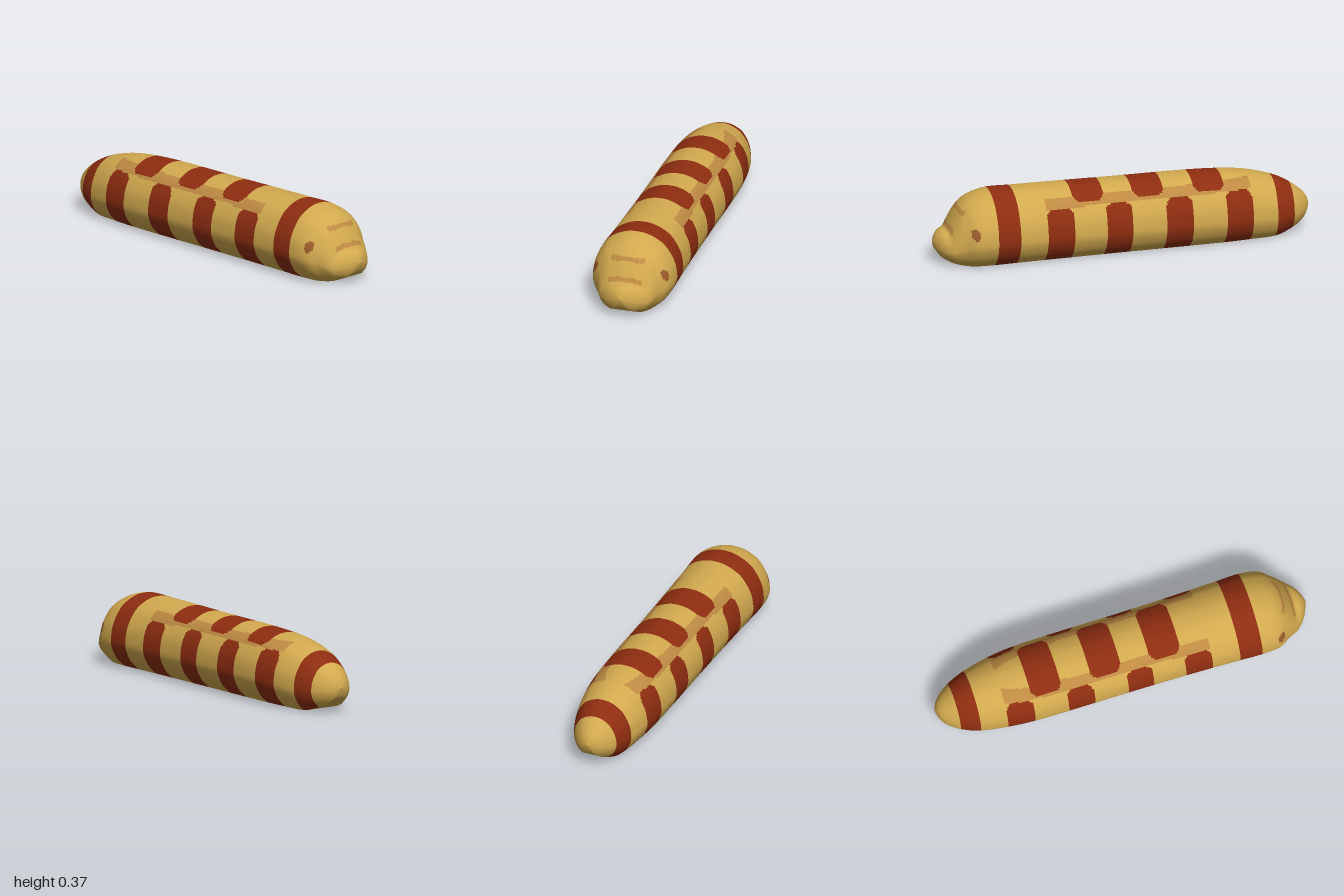
import * as THREE from 'three';

const colours = [
  ['skin', 0xd2a94e], ['bandRed', 0x8e2d10], ['crease', 0xbe8a43], ['underside', 0xa4713a], ['eyeBrown', 0x9c5a2a],
];
const SKIN = 0, RED = 1, CREASE = 2, UNDER = 3, EYE = 4;

// Body stations from snout to tail: z, half width, bottom y, top y
const stations = [
  [1.0, 0, 0.11, 0.11], [0.985, 0.045, 0.07, 0.145], [0.96, 0.09, 0.04, 0.17],
  [0.925, 0.128, 0.022, 0.185], [0.9, 0.145, 0.012, 0.23], [0.86, 0.167, 0.003, 0.295],
  [0.8, 0.205, 0, 0.34], [0.7, 0.217, 0, 0.368], [0.55, 0.212, 0, 0.368],
  [0.3, 0.206, 0, 0.366], [0, 0.203, 0, 0.362], [-0.3, 0.203, 0, 0.36],
  [-0.52, 0.2, 0, 0.352], [-0.67, 0.185, 0, 0.335], [-0.8, 0.158, 0, 0.3],
  [-0.88, 0.128, 0.022, 0.262], [-0.94, 0.092, 0.05, 0.22], [-0.98, 0.05, 0.085, 0.18],
  [-1, 0, 0.135, 0.135],
];

// Catmull-Rom blend of four values
function blend(a, b, c, d, t) {
  const m0 = (c - a) / 2, m1 = (d - b) / 2;
  return (2 * b - 2 * c + m0 + m1) * t ** 3 + (-3 * b + 3 * c - 2 * m0 - m1) * t * t + m0 * t + b;
}

// Subdivided rings, finer near the ends
function makeRings() {
  const rings = [], last = stations.length - 1;
  const at = (i) => stations[Math.min(last, Math.max(0, i))];
  for (let s = 0; s < last; s++) {
    const n = Math.max(7, Math.ceil((stations[s][0] - stations[s + 1][0]) / 0.0085));
    for (let k = 0; k < n; k++) {
      rings.push([0, 1, 2, 3].map((j) => blend(at(s - 1)[j], at(s)[j], at(s + 1)[j], at(s + 2)[j], k / n)));
    }
  }
  rings.push(stations[last]);
  return rings;
}

// Unit cross-section: flat underside, domed back, mirrored to a closed loop
const FLAT = 14, DOME = 52;
function makeSection() {
  const dome = new THREE.SplineCurve([
    [0.6, 0], [0.83, 0.125], [0.97, 0.28], [1, 0.41], [0.93, 0.62],
    [0.71, 0.83], [0.46, 0.935], [0.2, 0.99], [0, 1],
  ].map(([x, y]) => new THREE.Vector2(x, y)));
  const half = [];
  for (let i = 0; i < FLAT; i++) half.push(new THREE.Vector2((0.6 * i) / FLAT, 0));
  half.push(...dome.getSpacedPoints(DOME));
  const mirrored = half.slice(1, -1).reverse().map((p) => new THREE.Vector2(-p.x, p.y));
  return [...half, ...mirrored];
}

const within = (v, a, b) => v > a && v < b;
const ellipse = (a, b, ra, rb) => (a / ra) ** 2 + (b / rb) ** 2 < 1;
const roundRect = (a, b, ha, hb, r) =>
  Math.hypot(Math.max(Math.abs(a) - ha + r, 0), Math.max(Math.abs(b) - hb + r, 0)) < r;

const sidePatches = [0.363, 0.05, -0.272, -0.588];
const topPatches = [0.203, -0.118, -0.438];
const bellySpots = [[-0.62, 0.04, 0.07, 0.02], [-0.5, -0.05, 0.05, 0.018], [-0.27, 0.03, 0.07, 0.02],
  [-0.15, 0.07, 0.03, 0.018], [0.08, 0.05, 0.03, 0.02]];

// Colour of the skin at one place
function paint(x, y, z, under) {
  if (under) {
    if (!within(z, -0.84, 0.86)) return SKIN;
    return bellySpots.some(([sz, sx, rz, rx]) => ellipse(z - sz, x - sx, rz, rx)) ? SKIN : UNDER;
  }
  const ax = Math.abs(x);
  // full bands
  if (within(z, 0.578, 0.697) || within(z, -0.898, -0.803)) return RED;
  // rounded saddles and side patches
  if (y > 0.2 && topPatches.some((c) => roundRect(z - c, x, 0.083, 0.143, 0.045))) return RED;
  if (sidePatches.some((c) => roundRect(z - c, y, 0.071, 0.287, 0.04))) return RED;
  // pale strip between them
  if (within(z, -0.66, 0.435) && within(y, 0.287, 0.33)) return CREASE;
  // face
  if (z > 0.76) {
    if (ellipse(z - 0.815, y - 0.195, 0.02, 0.03) && ax > 0.12) return EYE;
    if (ax < 0.09 && Math.abs(y - 0.284 + ax * 0.05) < 0.011) return CREASE;
    if (ax < 0.09 && z > 0.88 && Math.abs(y - 0.193 + ax * ax * 1.8) < 0.011) return CREASE;
  }
  return SKIN;
}

export function createModel() {
  const rings = makeRings(), section = makeSection(), n = section.length;
  const position = [];
  for (const [z, w, b, t] of rings) {
    for (const p of section) position.push(p.x * w, b + p.y * (t - b), z);
  }

  // Sort the faces by colour
  const faces = colours.map(() => []);
  const mid = (k, ...ids) => ids.reduce((sum, id) => sum + position[id * 3 + k], 0) / ids.length;
  for (let r = 0; r < rings.length - 1; r++) {
    for (let i = 0; i < n; i++) {
      const j = (i + 1) % n;
      const a = r * n + i, b = r * n + j, c = b + n, d = a + n;
      const under = i < FLAT || i >= n - FLAT;
      const colour = paint(mid(0, a, b, c, d), mid(1, a, b, c, d), mid(2, a, b, c, d), under);
      faces[colour].push(a, d, c, a, c, b);
    }
  }

  const geometry = new THREE.BufferGeometry();
  geometry.setAttribute('position', new THREE.Float32BufferAttribute(position, 3));
  geometry.setIndex(faces.flat());
  let start = 0;
  faces.forEach((list, m) => {
    geometry.addGroup(start, list.length, m);
    start += list.length;
  });
  geometry.computeVertexNormals();

  const materials = colours.map(([name, color]) => {
    const material = new THREE.MeshStandardMaterial({ color });
    material.name = name;
    return material;
  });
  const body = new THREE.Mesh(geometry, materials);
  body.name = 'wormBody';

  const group = new THREE.Group();
  group.name = 'bandedWorm';
  group.add(body);
  return group;
}
